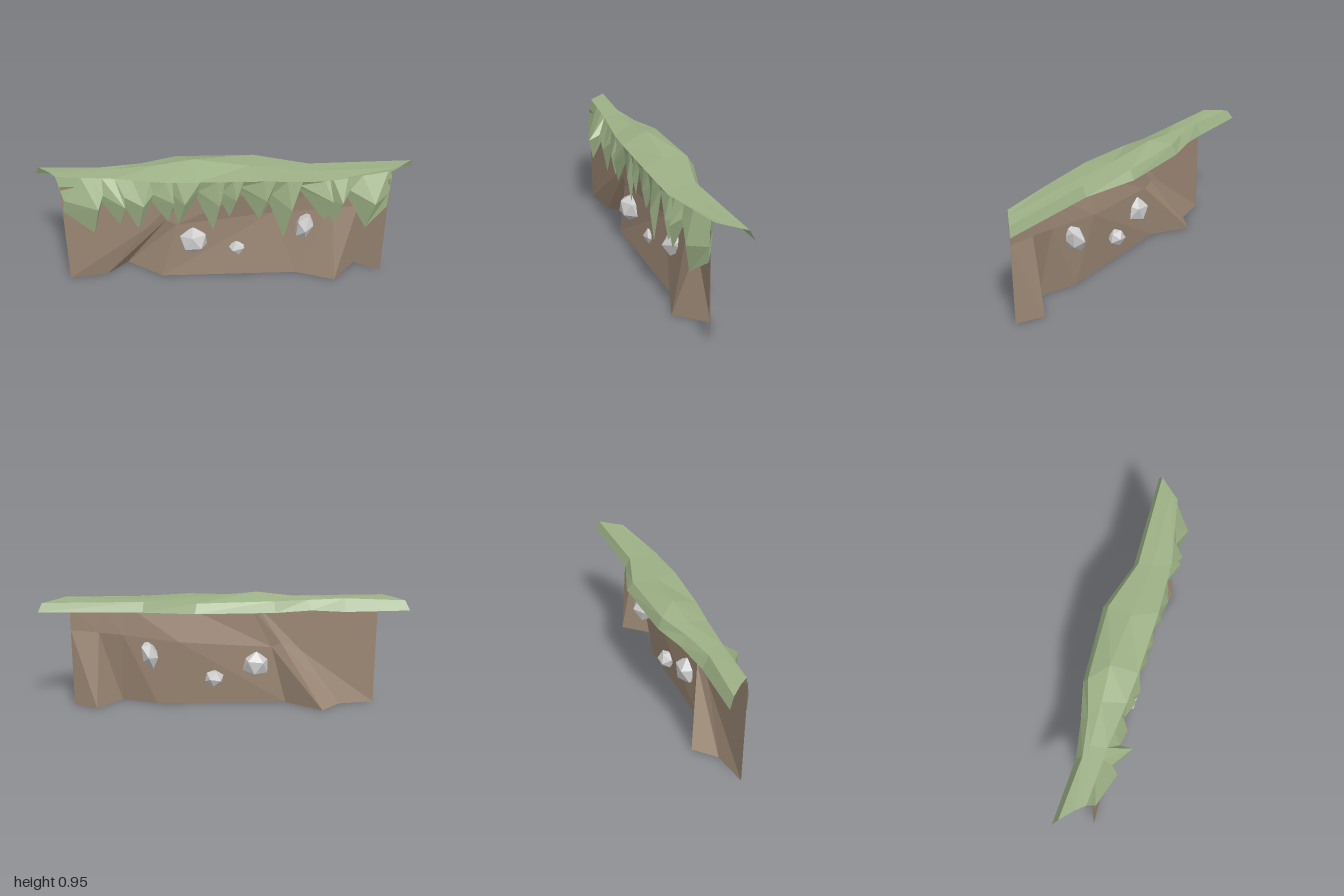
import * as THREE from 'three';

const mat = (color) => new THREE.MeshStandardMaterial({ color, flatShading: true, side: THREE.DoubleSide });

// Faceted sheet through rows of [x, y, z] points (rows low to high, points -x to +x)
function sheet(name, rows, material) {
  const pos = [];
  for (let i = 0; i < rows.length - 1; i++) {
    for (let j = 0; j < rows[i].length - 1; j++) {
      const a = rows[i][j], b = rows[i][j + 1], c = rows[i + 1][j + 1], d = rows[i + 1][j];
      pos.push(...a, ...b, ...c, ...a, ...c, ...d);
    }
  }
  const geo = new THREE.BufferGeometry();
  geo.setAttribute('position', new THREE.Float32BufferAttribute(pos, 3));
  geo.computeVertexNormals();
  const mesh = new THREE.Mesh(geo, material);
  mesh.name = name;
  return mesh;
}

// Point on a polyline at a given x
function atX(line, x) {
  let i = 0;
  while (i < line.length - 2 && line[i + 1][0] < x) i++;
  const [p, q] = [line[i], line[i + 1]];
  const t = (x - p[0]) / (q[0] - p[0]);
  return p.map((v, k) => v + (q[k] - v) * t);
}

export function createModel() {
  const group = new THREE.Group();
  const earth = mat(0x9b8774), grass = mat(0x9cb085), stone = mat(0xcccccc);

  // Earth wall: a folded diagonal sheet
  const foot = [[-1, 0, -0.7], [-0.77, 0, -0.53], [-0.56, 0, -0.53], [-0.5, 0, -0.2],
    [0.23, 0, 0.53], [0.36, 0, 0.81], [0.64, 0, 0.79], [0.7, 0, 1]];
  const fold = [[-1, 0.45, -0.7], [-0.58, 0.44, -0.28], [-0.45, 0.51, -0.18], [-0.41, 0.47, -0.12],
    [0.14, 0.53, 0.36], [0.42, 0.58, 0.7], [0.55, 0.6, 0.84], [0.7, 0.62, 1]];
  const head = [-1, -0.52, -0.32, -0.28, 0.1, 0.4, 0.54, 0.7].map((x) => [x, 0.83, x + 0.3]);
  group.add(sheet('earthWall', [foot, fold, head], earth));

  // Turf on top: front edge, crown, back edge and the lip hanging behind
  const front = [[-1, 0.9, -0.74], [-0.72, 0.89, -0.42], [-0.5, 0.87, -0.14], [-0.35, 0.88, 0.04],
    [-0.02, 0.89, 0.4], [0.28, 0.87, 0.69], [0.72, 0.895, 1]];
  const crown = [[-0.99, 0.9, -0.82], [-0.65, 0.9, -0.52], [-0.42, 0.92, -0.3], [-0.22, 0.955, -0.12],
    [0.05, 0.91, 0.2], [0.33, 0.885, 0.55], [0.8, 0.89, 1]];
  const back = [[-0.99, 0.89, -0.95], [-0.69, 0.9, -0.6], [-0.46, 0.9, -0.43], [-0.22, 0.91, -0.3],
    [0.2, 0.9, 0.1], [0.4, 0.885, 0.47], [0.95, 0.885, 1]];
  const lip = [[-0.985, 0.82, -1], [-0.66, 0.805, -0.64], [-0.44, 0.83, -0.48], [-0.2, 0.83, -0.33],
    [0.24, 0.83, 0.08], [0.43, 0.81, 0.45], [0.99, 0.82, 1]];
  group.add(sheet('turfTop', [front, crown, back, lip], grass));

  // Ragged grass fringe: [x, y, depth in front of the diagonal], notches and tips in turn
  const fringe = [[-1, 0.62, 0.31], [-0.88, 0.46, 0.38], [-0.82, 0.72, 0.36], [-0.78, 0.57, 0.46],
    [-0.72, 0.7, 0.38], [-0.64, 0.48, 0.36], [-0.56, 0.71, 0.35], [-0.49, 0.54, 0.37],
    [-0.46, 0.7, 0.35], [-0.44, 0.52, 0.38], [-0.33, 0.74, 0.35], [-0.25, 0.45, 0.36],
    [-0.21, 0.72, 0.35], [-0.17, 0.57, 0.37], [-0.12, 0.8, 0.36], [-0.02, 0.55, 0.38],
    [0.04, 0.68, 0.36], [0.1, 0.38, 0.4], [0.18, 0.81, 0.37], [0.3, 0.54, 0.42],
    [0.33, 0.6, 0.38], [0.35, 0.51, 0.42], [0.44, 0.72, 0.37], [0.53, 0.46, 0.4],
    [0.69, 0.6, 0.31], [0.71, 0.8, 0.29]];
  const place = (x, y, d) => [x, y, Math.min(1, x + d)];
  const hem = fringe.map(([x, y, d]) => place(x, y, d));
  const swell = fringe.map(([x, y, d], i) => {
    const tip = i % 2 === 1;
    return place(x, tip ? y + (0.88 - y) * 0.55 : y + (0.88 - y) * 0.4, tip ? d + 0.07 : d + 0.02);
  });
  const hang = fringe.map(([x]) => atX(front, x));
  group.add(sheet('grassFringe', [hem, swell, hang], grass));

  // Stones set in the wall: [position, half width, half height, half depth, tilt]
  const stones = [
    [[-0.32, 0.33, -0.03], 0.115, 0.11, 0.1, 0.3],
    [[0.29, 0.43, 0.54], 0.07, 0.12, 0.115, -0.3],
    [[-0.055, 0.23, 0.17], 0.08, 0.07, 0.07, 0.1],
  ];
  stones.forEach(([p, w, h, d, tilt], i) => {
    const geo = new THREE.IcosahedronGeometry(1, 0);
    geo.rotateY(i * 0.7 + 0.3).rotateZ(tilt).scale(w, h, d).rotateZ(tilt);
    geo.rotateY(-Math.PI / 4);
    const rock = new THREE.Mesh(geo, stone);
    rock.name = 'stone' + (i + 1);
    rock.position.set(...p);
    group.add(rock);
  });

  return group;
}
